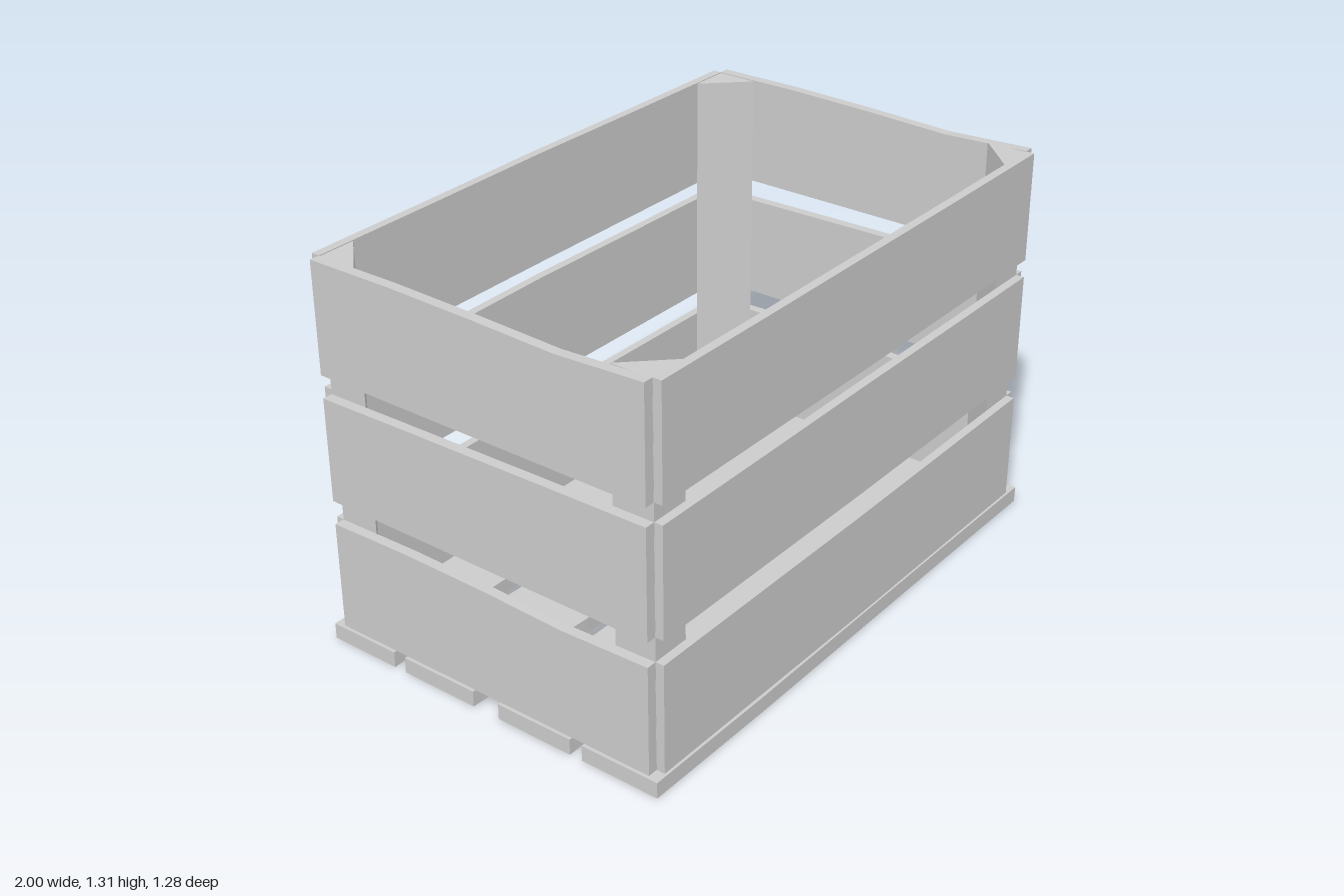
import * as THREE from 'three';

const material = new THREE.MeshStandardMaterial({ color: 0xcccccc, flatShading: true });

// Plank along x, four segments long; bendY / bendZ shift each of its five stations.
function plank(name, length, height, depth, bendY = [0, 0, 0, 0, 0], bendZ = [0, 0, 0, 0, 0], topOnly = false) {
  const geo = new THREE.BoxGeometry(length, height, depth, 4, 1, 1);
  const p = geo.attributes.position;
  for (let i = 0; i < p.count; i++) {
    const s = Math.round((p.getX(i) / length + 0.5) * 4);
    if (!topOnly || p.getY(i) > 0) p.setY(i, p.getY(i) + bendY[s]);
    p.setZ(i, p.getZ(i) + bendZ[s]);
  }
  geo.computeVertexNormals();
  const mesh = new THREE.Mesh(geo, material);
  mesh.name = name;
  return mesh;
}

export function createModel() {
  const crate = new THREE.Group();
  crate.name = 'crate';

  // Floor boards: [z from, z to, sideways bend]
  const floor = [
    [-0.64, -0.385, [0, 0, -0.004, 0, 0]],
    [-0.34, -0.06, [0, 0.026, 0.02, 0.01, 0]],
    [0.04, 0.315, [0, 0, -0.007, 0, 0]],
    [0.36, 0.635, [0, 0.004, 0.002, 0, 0]],
  ];
  floor.forEach(([a, b, bend], i) => {
    const board = plank('floorBoard' + (i + 1), 2, 0.054, b - a, undefined, bend);
    board.position.set(0, 0.027, (a + b) / 2);
    crate.add(board);
  });

  // Three tiers of slats: [name, bottom, top, long-side bend, end bend]
  const tiers = [
    ['lower', 0.054, 0.425, [0, 0, 0, 0, 0], [0, -0.009, 0.002, 0.006, 0], true],
    ['middle', 0.507, 0.874, [0, 0.002, 0.006, 0.002, 0], [0, -0.003, -0.007, -0.011, -0.016], true],
    ['upper', 0.935, 1.305, [0, 0, 0.002, 0, 0], [0, -0.014, -0.004, 0.002, 0], true],
  ];
  for (const [tier, y0, y1, longBend, endBend, topOnly] of tiers) {
    const h = y1 - y0, y = (y0 + y1) / 2;
    for (const s of [1, -1]) {
      // Long front and back slats
      const bulge = [0, s * 0.002, s * 0.004, s * 0.002, 0];
      const long = plank(tier + (s > 0 ? 'FrontSlat' : 'BackSlat'), 1.905, h, 0.029, longBend, bulge, topOnly);
      long.position.set(-0.002, y, s > 0 ? 0.612 : -0.621);
      crate.add(long);

      // Short end slats, with wavy upper edges
      const end = plank(tier + (s > 0 ? 'LeftEndSlat' : 'RightEndSlat'), 1.205, h, 0.034, endBend, undefined, topOnly);
      end.rotation.y = Math.PI / 2;
      end.position.set(s > 0 ? 0.968 : -0.972, y, -0.005);
      crate.add(end);
    }
  }

  // Triangular corner posts
  for (const sx of [1, -1]) for (const sz of [1, -1]) {
    const x = sx > 0 ? 0.951 : -0.955, z = sz > 0 ? 0.598 : -0.607;
    const shape = new THREE.Shape([
      new THREE.Vector2(x, -z),
      new THREE.Vector2(x - sx * 0.135, -z),
      new THREE.Vector2(x, -(z - sz * 0.14)),
    ]);
    const geo = new THREE.ExtrudeGeometry(shape, { depth: 1.248, bevelEnabled: false });
    geo.rotateX(-Math.PI / 2);
    const post = new THREE.Mesh(geo, material);
    post.name = (sz > 0 ? 'front' : 'back') + (sx > 0 ? 'Left' : 'Right') + 'Post';
    post.position.y = 0.054;
    crate.add(post);
  }
  return crate;
}
